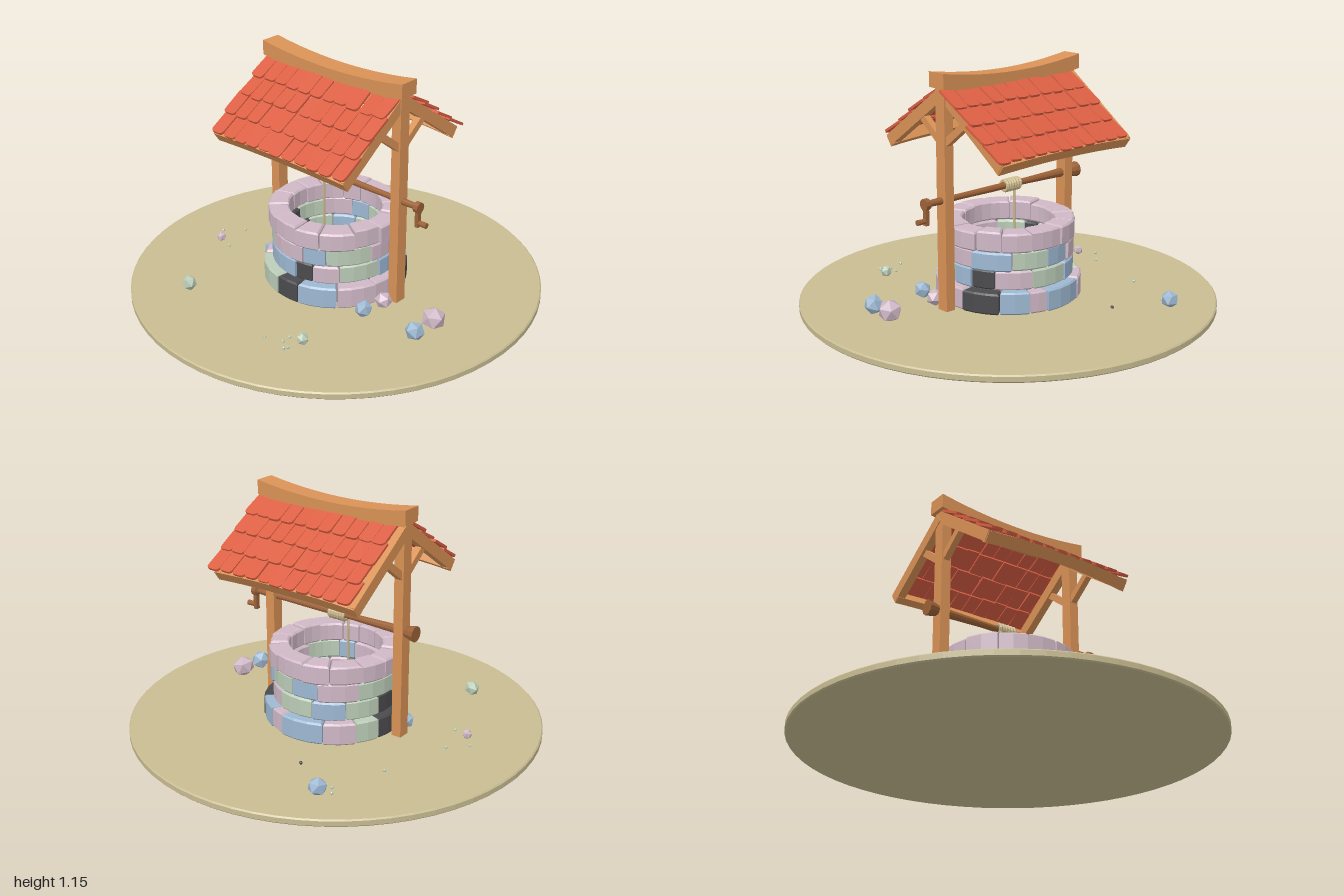
import * as THREE from 'three';

const COLORS = { P: 0xcfb8c6, G: 0xbccdb8, B: 0x9db8d2, K: 0x4b4b4e };
const mats = {};
const mat = (c) => (mats[c] ??= new THREE.MeshStandardMaterial({ color: c, flatShading: true }));
const WOOD = 0xd99256, DARK_WOOD = 0x9c6238, TILE = 0xdb5f43, ROPE = 0xcbb88c;
const GROUND_Y = 0.035;

// small seeded generator for natural irregularity
let seed = 7;
const rand = () => ((seed = (seed * 16807) % 2147483647) / 2147483647);
const jitter = (a) => (rand() * 2 - 1) * a;

function add(parent, name, geo, color, x = 0, y = 0, z = 0) {
  const m = new THREE.Mesh(geo, mat(color));
  m.name = name;
  m.position.set(x, y, z);
  parent.add(m);
  return m;
}

// beam whose ends rise by `lift` above its middle
function curvedBeam(length, height, depth, lift) {
  const geo = new THREE.BoxGeometry(length, height, depth, 12, 1, 1);
  const p = geo.attributes.position;
  for (let i = 0; i < p.count; i++) {
    const t = p.getX(i) / (length / 2);
    p.setY(i, p.getY(i) + lift * t * t);
  }
  return geo;
}

// one wedge-shaped stone of a ring; angle 0 faces the front
function stoneGeometry(a0, a1, inner, outer, height) {
  const pts = [], n = Math.max(2, Math.round((a1 - a0) / 0.2)), gap = 0.008;
  const b = 0.008;
  const arc = (r, from, to) => {
    for (let i = 0; i <= n; i++) {
      const a = from + ((to - from) * i) / n;
      pts.push(new THREE.Vector2(r * Math.sin(a), -r * Math.cos(a)));
    }
  };
  arc(outer, a0 + gap, a1 - gap);
  arc(inner, a1 - gap, a0 + gap);
  const geo = new THREE.ExtrudeGeometry(new THREE.Shape(pts), {
    depth: height - 2 * b, bevelEnabled: true, bevelSize: b, bevelOffset: -b,
    bevelThickness: b, bevelSegments: 1,
  });
  return geo.translate(0, 0, b).rotateX(-Math.PI / 2);
}

function buildWell() {
  const well = new THREE.Group();
  well.name = 'stoneWell';
  // each course: height range, outer radius, start angle, then colour and angular width
  const courses = [
    { y: GROUND_Y, h: 0.105, r: 0.345, start: -50, stones: 'G40 K21 B32 P32 P25 K31 B24 P15 B37 P26 G20 K32 P25' },
    { y: 0.14, h: 0.093, r: 0.305, start: -42, stones: 'B46 K17 P24 G39 B20 K22 P34 G36 B30 G32 K20 P40' },
    { y: 0.233, h: 0.092, r: 0.308, start: -28, stones: 'P40 B21 G42 P30 B36 G34 B26 P36 G40 K18 G37' },
    { y: 0.324, h: 0.094, r: 0.318, start: -20, stones: 'P26 P22 P30 P24 P28 P22 P26 P30 P24 P28 P22 P26 P28 P24' },
  ];
  courses.forEach(({ y, h, r, start, stones }) => {
    let a = THREE.MathUtils.degToRad(start);
    for (const s of stones.split(' ')) {
      const b = a + THREE.MathUtils.degToRad(+s.slice(1));
      add(well, 'stone', stoneGeometry(a, b, 0.22 + jitter(0.006), r + jitter(0.008), h + jitter(0.004)), COLORS[s[0]], 0, y, 0);
      a = b;
    }
  });
  // mortar behind the joints
  const core = [[0.235, 0.035], [0.285, 0.035], [0.285, 0.4], [0.235, 0.4], [0.235, 0.035]];
  add(well, 'mortar', new THREE.LatheGeometry(core.map((p) => new THREE.Vector2(...p)), 32), 0x8d8288);
  return well;
}

// flat shingle with a rounded lower edge, its lower end at the origin
function tileGeometry(w, len) {
  const s = new THREE.Shape();
  s.moveTo(-w / 2, len);
  s.lineTo(-w / 2, 0.022);
  s.quadraticCurveTo(-w / 2, 0.003, -w / 4, 0.001);
  s.lineTo(w / 4, 0);
  s.quadraticCurveTo(w / 2, 0.003, w / 2, 0.022);
  s.lineTo(w / 2, len);
  return new THREE.ExtrudeGeometry(s, { depth: 0.012, bevelEnabled: false, curveSegments: 3 }).rotateX(-Math.PI / 2);
}

// one roof slope; local +z runs down the slope, y = 0 is the rafters' top
function buildSlope(tileShift) {
  const slope = new THREE.Group();
  slope.name = 'roofSlope';
  slope.position.set(0, 1.073, 0.02);
  slope.rotation.x = 0.62;
  for (const x of [-0.38, 0.385]) {
    add(slope, 'rafter', new THREE.BoxGeometry(0.04, 0.055, 0.47), WOOD, x, -0.0275, 0.235);
  }
  add(slope, 'eaveBeam', curvedBeam(0.8, 0.055, 0.035, -0.02), WOOD, 0.003, -0.012, 0.458);
  const cols = 11, w = 0.81 / cols;
  const geo = tileGeometry(w * 0.97, 0.135);
  for (let row = 0; row < 4; row++) {
    for (let c = 0; c < cols; c++) {
      const x = tileShift + (c - (cols - 1) / 2) * w + jitter(0.004) + (row % 2 ? 0.004 : -0.004);
      const t = add(slope, 'roofTile', geo, TILE, x, 0.012 + jitter(0.002), 0.14 + row * 0.112 + jitter(0.004));
      t.rotation.set(-0.1 + jitter(0.02), jitter(0.03), jitter(0.03));
    }
  }
  return slope;
}

function buildFrame() {
  const frame = new THREE.Group();
  frame.name = 'roofFrame';
  for (const x of [-0.376, 0.384]) {
    add(frame, 'post', new THREE.BoxGeometry(0.05, 1.05, 0.06), WOOD, x, GROUND_Y + 0.525, 0);
    // diagonal braces from post to rafters
    for (const s of [-1, 1]) {
      const brace = add(frame, 'brace', new THREE.BoxGeometry(0.032, 0.034, 0.2), WOOD, x, 0.882, s * 0.085);
      brace.rotation.x = -s * 0.66;
    }
  }
  add(frame, 'ridgeBeam', curvedBeam(0.845, 0.07, 0.1, 0.035), WOOD, 0.005, 1.08, 0);
  [0, Math.PI].forEach((turn, i) => {
    const side = new THREE.Group();
    side.name = i ? 'backRoof' : 'frontRoof';
    side.rotation.y = turn;
    side.add(buildSlope(i ? -0.028 : 0.003));
    frame.add(side);
  });
  return frame;
}

function buildWinch() {
  const winch = new THREE.Group();
  winch.name = 'winch';
  // turned axle with a flared left-hand end; profile as radius, position along x
  const profile = [[0, -0.455], [0.038, -0.455], [0.034, -0.43], [0.024, -0.395], [0.02, -0.3], [0.015, -0.1],
    [0.016, 0.1], [0.014, 0.3], [0.017, 0.42], [0.015, 0.48], [0.027, 0.485], [0.027, 0.51], [0, 0.51]];
  const axle = new THREE.LatheGeometry(profile.map((p) => new THREE.Vector2(...p)), 10).rotateZ(-Math.PI / 2);
  add(winch, 'axle', axle, DARK_WOOD, 0, 0.563, 0);
  add(winch, 'crankArm', new THREE.BoxGeometry(0.018, 0.11, 0.024), DARK_WOOD, 0.497, 0.52, 0);
  add(winch, 'crankHandle', new THREE.CylinderGeometry(0.012, 0.014, 0.06, 8).rotateZ(Math.PI / 2), DARK_WOOD, 0.518, 0.486, 0);
  // rope coil and hanging end
  for (let i = 0; i < 6; i++) {
    const coil = add(winch, 'ropeCoil', new THREE.TorusGeometry(0.024, 0.009, 6, 14).rotateY(Math.PI / 2), ROPE, -0.058 + i * 0.016, 0.563, 0);
    coil.rotation.z = 0.06 + jitter(0.05);
  }
  add(winch, 'hangingRope', new THREE.CylinderGeometry(0.006, 0.006, 0.5, 6), ROPE, -0.058, 0.31, 0.02);
  return winch;
}

function buildRocks() {
  const rocks = new THREE.Group();
  rocks.name = 'looseRocks';
  const list = [['P', 0.66, 0.07, 0.06], ['B', 0.655, 0.2, 0.05], ['B', -0.41, -0.67, 0.046], ['G', -0.415, 0.59, 0.04],
    ['G', 0.31, 0.565, 0.031], ['P', -0.65, 0.16, 0.026], ['P', 0.38, 0.09, 0.045], ['B', -0.355, 0.09, 0.04],
    ['B', 0.36, 0.21, 0.045]];
  const pebbles = [[-0.19, -0.51], [-0.53, -0.34], [-0.465, -0.64], [-0.435, -0.6], [-0.71, 0.09], [-0.63, 0.01],
    [-0.57, 0.185], [0.155, 0.65], [0.24, 0.575], [0.24, 0.62], [0.28, 0.655], [0.29, 0.64]];
  pebbles.forEach(([x, z], i) => list.push([i ? 'G' : 'K', x, z, 0.009]));
  for (const [c, x, z, r] of list) {
    const rock = add(rocks, r < 0.01 ? 'pebble' : 'rock', new THREE.IcosahedronGeometry(r, 0), COLORS[c], x, GROUND_Y + r * 0.75, z);
    rock.rotation.set(rand() * 3, rand() * 3, rand() * 3);
    rock.scale.set(1, 0.95, 0.9);
  }
  return rocks;
}

export function createModel() {
  seed = 7;
  const model = new THREE.Group();
  model.name = 'wishingWell';
  // round ground slab with softened rims
  const rim = [[0, 0], [0.994, 0], [1, 0.006], [1, 0.029], [0.994, GROUND_Y], [0, GROUND_Y]];
  add(model, 'ground', new THREE.LatheGeometry(rim.map((p) => new THREE.Vector2(...p)), 64), 0xc8bc92);
  model.add(buildWell(), buildFrame(), buildWinch(), buildRocks());
  return model;
}
